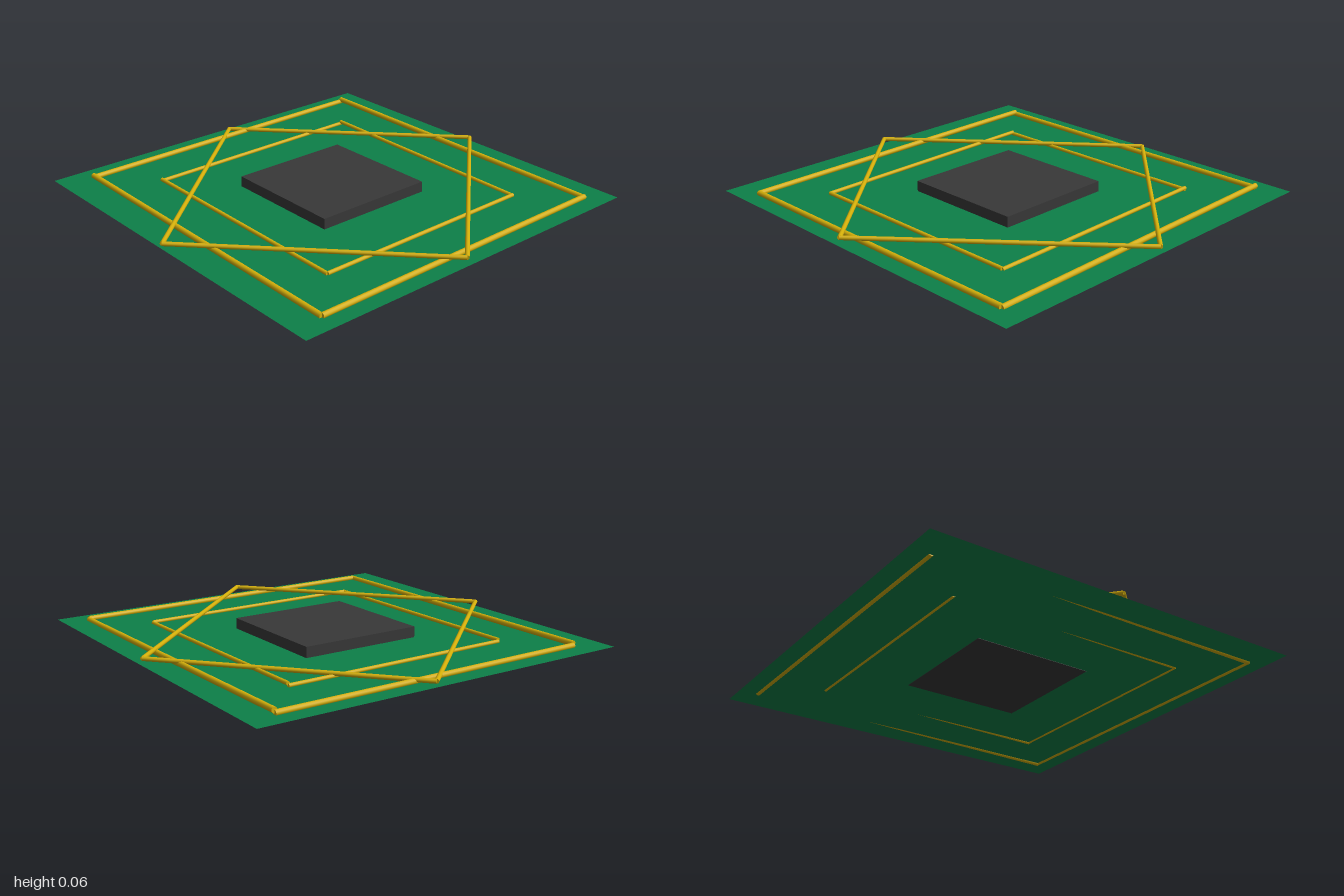
import * as THREE from 'three';

const green = new THREE.MeshStandardMaterial({ color: 0x0d8048, side: THREE.DoubleSide });
const dark = new THREE.MeshStandardMaterial({ color: 0x383838 });
const gold = new THREE.MeshStandardMaterial({ color: 0xd4af0a });

// Straight round wire between two points
function wire(name, a, b, radius) {
  const from = new THREE.Vector3(...a), to = new THREE.Vector3(...b);
  const dir = to.clone().sub(from);
  const mesh = new THREE.Mesh(new THREE.CylinderGeometry(radius, radius, dir.length(), 12), gold);
  mesh.position.copy(from).add(to).multiplyScalar(0.5);
  mesh.quaternion.setFromUnitVectors(new THREE.Vector3(0, 1, 0), dir.normalize());
  mesh.name = name;
  return mesh;
}

// Four wires joining [x, z] corners; heights holds the [start, end] y of each wire
function wireLoop(name, corners, heights, radius) {
  const group = new THREE.Group();
  group.name = name;
  corners.forEach(([x, z], i) => {
    const [x2, z2] = corners[(i + 1) % corners.length];
    const [y, y2] = heights[i];
    group.add(wire(name + 'Wire', [x, y, z], [x2, y2, z2], radius));
  });
  return group;
}

export function createModel() {
  const model = new THREE.Group();
  model.name = 'circuitBoard';

  // Thin board sheet
  const board = new THREE.Mesh(new THREE.PlaneGeometry(1.985, 1.985), green);
  board.rotation.x = -Math.PI / 2;
  board.position.set(-0.005, 0.012, -0.008);
  board.name = 'board';
  model.add(board);

  // Central chip, its underside just showing through the board
  const chip = new THREE.Mesh(new THREE.BoxGeometry(0.635, 0.056, 0.635), dark);
  chip.position.set(-0.007, 0.038, -0.008);
  chip.name = 'chip';
  model.add(chip);

  // Wire squares: back, left, front, right edges, slightly tilted by hand
  model.add(wireLoop('outerSquare',
    [[-0.9, -0.86], [0.885, -0.87], [0.895, 0.825], [-0.89, 0.82]],
    [[0.032, 0.015], [0.02, 0.02], [0.018, 0.03], [0.02, 0.02]], 0.014));
  model.add(wireLoop('innerSquare',
    [[-0.635, -0.625], [0.64, -0.625], [0.645, 0.58], [-0.63, 0.58]],
    [[0.028, 0.014], [0.018, 0.018], [0.017, 0.026], [0.018, 0.018]], 0.01));

  // Turned square resting on top, rising towards +x
  const tips = [[0.02, -0.985], [0.975, 0.065], [-0.02, 0.98], [-0.965, -0.085]];
  const rise = ([x]) => 0.037 + 0.011 * x;
  model.add(wireLoop('turnedSquare', tips,
    tips.map((t, i) => [rise(t), rise(tips[(i + 1) % 4])]), 0.011));

  return model;
}
